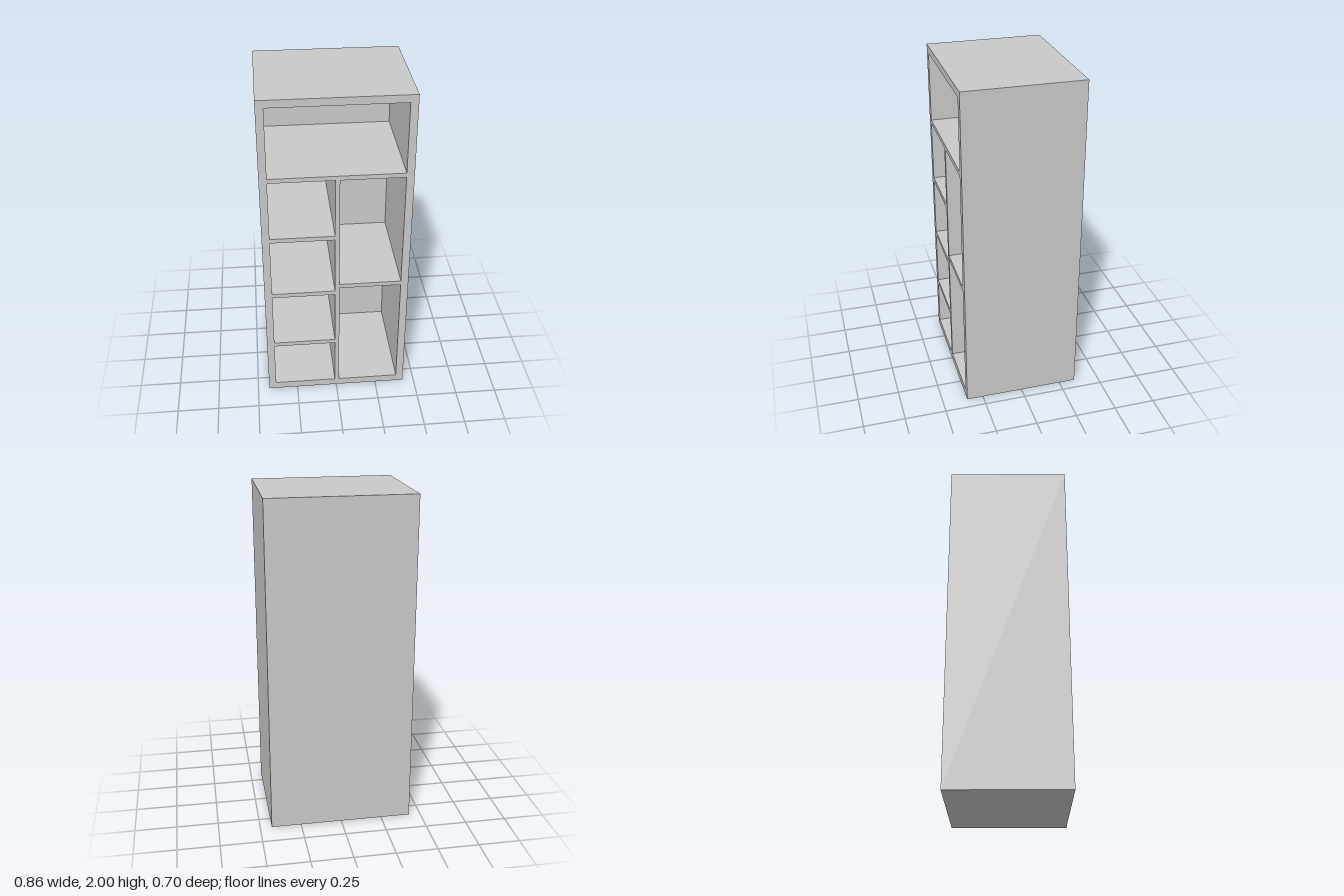
import * as THREE from 'three';

const W = 0.86, H = 2, D = 0.7; // outer size
const T = 0.045;                // carcass thickness
const S = 0.027;                // shelf thickness
const IN = W / 2 - T;           // inner half width
const BACK = -D / 2 + T, FRONT = D / 2;
const DIV_L = -0.01, DIV_R = 0.017; // divider faces

export function createModel() {
  const body = new THREE.MeshStandardMaterial({ color: 0xc8c8c8 });
  body.name = 'light grey panel';
  const metal = new THREE.MeshStandardMaterial({ color: 0x6b6860 });
  metal.name = 'dark rail metal';

  const model = new THREE.Group();
  model.name = 'wardrobe';

  const add = (name, geometry, material, parent = model) => {
    const mesh = new THREE.Mesh(geometry, material);
    mesh.name = name;
    parent.add(mesh);
    return mesh;
  };

  // Board given by its limits on each axis
  const board = (name, x0, x1, y0, y1, z0 = BACK, z1 = FRONT) =>
    add(name, new THREE.BoxGeometry(x1 - x0, y1 - y0, z1 - z0), body)
      .position.set((x0 + x1) / 2, (y0 + y1) / 2, (z0 + z1) / 2);

  // Outer frame: a rectangular tube running front to back
  const outline = new THREE.Shape([
    new THREE.Vector2(-W / 2, 0), new THREE.Vector2(W / 2, 0),
    new THREE.Vector2(W / 2, H), new THREE.Vector2(-W / 2, H),
  ]);
  outline.holes.push(new THREE.Path([
    new THREE.Vector2(-IN, T), new THREE.Vector2(-IN, H - T),
    new THREE.Vector2(IN, H - T), new THREE.Vector2(IN, T),
  ]));
  const frame = new THREE.ExtrudeGeometry(outline, { depth: D, bevelEnabled: false });
  frame.translate(0, 0, -D / 2);
  add('frame', frame, body);

  // Back panel closes the frame
  board('backPanel', -IN, IN, T, H - T, -D / 2, BACK);

  // Full-width top shelf, upright divider and shelves on both sides
  const topShelf = 1.507;
  board('topShelf', -IN, IN, topShelf, topShelf + S);
  board('divider', DIV_L, DIV_R, T, topShelf);
  for (const y of [0.347, 0.723, 1.115]) board('leftBayShelf', -IN, DIV_L, y, y + S);
  board('rightBayShelf', DIV_R, IN, 0.77, 0.77 + S);

  // Hanging rails with a round flange at each end
  const length = IN - DIV_R, flange = 0.012;
  for (const y of [1.418, 0.672]) {
    const rail = new THREE.Group();
    rail.name = 'hangingRail';
    rail.position.set((IN + DIV_R) / 2, y, 0);
    model.add(rail);
    add('rod', new THREE.CylinderGeometry(0.017, 0.017, length, 24), metal, rail).rotation.z = Math.PI / 2;
    for (const side of [-1, 1]) {
      const cap = add('flange', new THREE.CylinderGeometry(0.024, 0.024, flange, 24), metal, rail);
      cap.rotation.z = Math.PI / 2;
      cap.position.x = side * (length - flange) / 2;
    }
  }

  return model;
}
